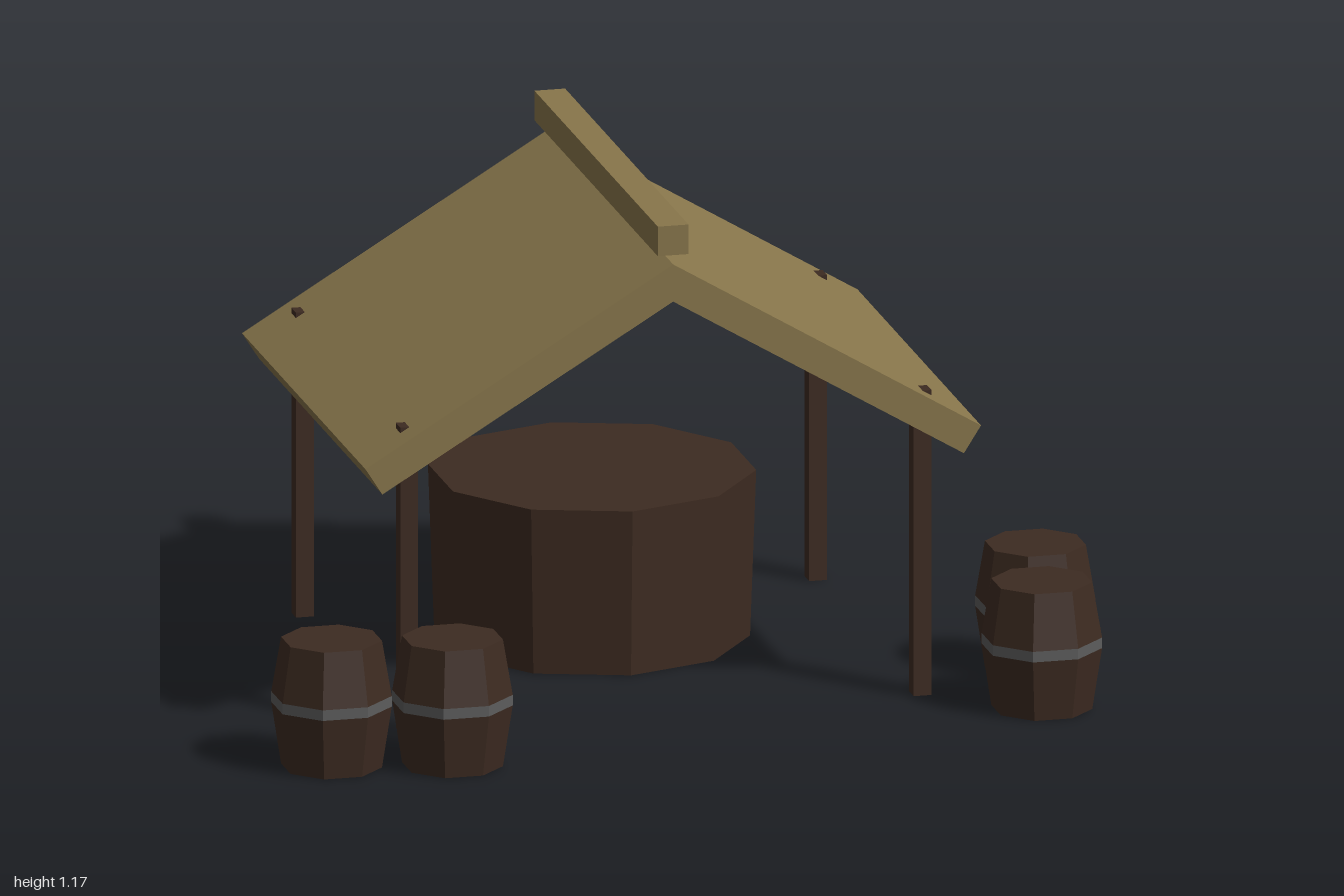
import * as THREE from 'three';

const wood = new THREE.MeshStandardMaterial({ color: 0x3d2b21, flatShading: true });
wood.name = 'dark wood';
const thatch = new THREE.MeshStandardMaterial({ color: 0x88764b, flatShading: true });
thatch.name = 'roof tan';
const iron = new THREE.MeshStandardMaterial({ color: 0x5c5c5c, flatShading: true });
iron.name = 'iron grey';

function add(parent, name, geometry, material, x = 0, y = 0, z = 0) {
  const mesh = new THREE.Mesh(geometry, material);
  mesh.name = name;
  mesh.position.set(x, y, z);
  parent.add(mesh);
  return mesh;
}

// Eight-sided barrel: two tapered halves with a flush band at the waist
function makeBarrel(x, z) {
  const barrel = new THREE.Group();
  barrel.name = 'barrel';
  barrel.position.set(x, 0, z);
  barrel.rotation.y = Math.PI / 8;
  const end = 0.116, waist = 0.1385, low = 0.145, high = 0.17, top = 0.3;
  add(barrel, 'barrelBottom', new THREE.CylinderGeometry(waist, end, low, 8), wood, 0, low / 2);
  add(barrel, 'barrelBand', new THREE.CylinderGeometry(waist, waist, high - low, 8, 1, true), iron, 0, (low + high) / 2);
  add(barrel, 'barrelTop', new THREE.CylinderGeometry(end, waist, top - high, 8), wood, 0, (high + top) / 2);
  return barrel;
}

export function createModel() {
  const model = new THREE.Group();
  model.name = 'wellShelter';
  const cx = -0.032, cz = -0.17, depth = 1.14;

  // Gabled roof slab
  const gable = new THREE.Shape([
    [0, 1.083], [-0.722, 0.65], [-0.682, 0.587], [0, 0.995], [0.682, 0.587], [0.722, 0.65],
  ].map(([x, y]) => new THREE.Vector2(x, y)));
  const roof = new THREE.ExtrudeGeometry(gable, { depth, bevelEnabled: false });
  add(model, 'roof', roof, thatch, cx, 0, cz - depth / 2);

  // Ridge beam floating just above the apex
  add(model, 'ridgeBeam', new THREE.BoxGeometry(0.072, 0.07, depth), thatch, cx, 1.14, cz);

  // Corner posts, their tips poking through the roof
  for (const sx of [-1, 1]) {
    for (const sz of [-1, 1]) {
      add(model, 'post', new THREE.BoxGeometry(0.042, 0.722, 0.042), wood, cx + sx * 0.602, 0.361, cz + sz * 0.482);
    }
  }

  // Ten-sided tub
  add(model, 'tub', new THREE.CylinderGeometry(0.374, 0.36, 0.392, 10), wood, cx, 0.196, -0.349);

  // Barrels by the front corners
  for (const [x, z] of [[-0.872, 0.552], [-0.603, 0.61], [0.81, 0.489], [0.871, 0.19]]) {
    model.add(makeBarrel(x, z));
  }
  return model;
}
